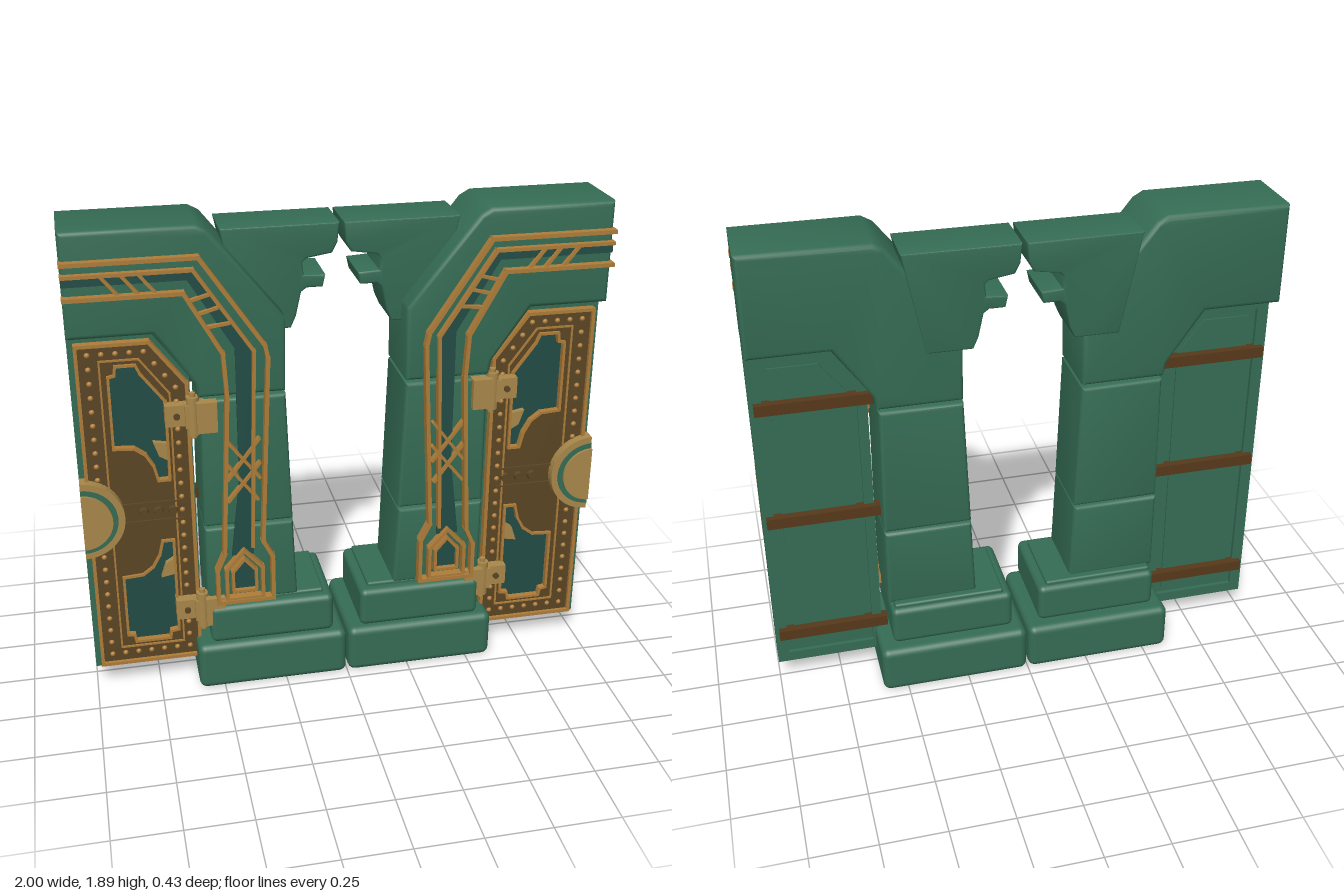
import * as THREE from 'three';
import { mergeGeometries, toCreasedNormals } from 'three/addons/utils/BufferGeometryUtils.js';
import { RoundedBoxGeometry } from 'three/addons/geometries/RoundedBoxGeometry.js';

const material = (name, color) => {
  const m = new THREE.MeshStandardMaterial({ color });
  m.name = name;
  return m;
};

const toShape = (pts) => new THREE.Shape(pts.map(([x, y]) => new THREE.Vector2(x, y)));

// Extruded outline between two depths, with its bevel kept inside the outline
function slab(pts, z0, z1, bevel = 0, holes = []) {
  const shape = toShape(pts);
  holes.forEach((h) => shape.holes.push(toShape(h)));
  const g = new THREE.ExtrudeGeometry(shape, {
    depth: z1 - z0 - 2 * bevel, bevelEnabled: bevel > 0, bevelThickness: bevel,
    bevelSize: bevel, bevelOffset: -bevel, bevelSegments: 3,
  });
  g.translate(0, 0, z0 + bevel);
  return bevel ? toCreasedNormals(g, 0.7) : g;
}

// Box given by its limits, optionally rounded
function block(x0, x1, y0, y1, z0, z1, r = 0) {
  const size = [x1 - x0, y1 - y0, z1 - z0];
  const g = r ? new RoundedBoxGeometry(...size, 3, r) : new THREE.BoxGeometry(...size);
  return g.translate((x0 + x1) / 2, (y0 + y1) / 2, (z0 + z1) / 2);
}

const merge = (list) => mergeGeometries(list.map((g) => (g.index ? g.toNonIndexed() : g)));

// Raised strip following a list of points
function strip(pts, width, z0, z1, closed = false) {
  const path = closed ? [...pts, pts[0]] : pts;
  const parts = [];
  for (let i = 0; i + 1 < path.length; i++) {
    const [ax, ay] = path[i], [bx, by] = path[i + 1];
    const g = new THREE.BoxGeometry(Math.hypot(bx - ax, by - ay) + width * 0.8, width, z1 - z0);
    g.rotateZ(Math.atan2(by - ay, bx - ax));
    parts.push(g.translate((ax + bx) / 2, (ay + by) / 2, (z0 + z1) / 2));
  }
  return merge(parts);
}

// Small round studs spaced along a closed outline
function studs(pts, spacing, radius, z) {
  const parts = [];
  pts.forEach(([ax, ay], i) => {
    const [bx, by] = pts[(i + 1) % pts.length];
    const n = Math.max(1, Math.round(Math.hypot(bx - ax, by - ay) / spacing));
    for (let k = 0; k < n; k++) {
      const g = new THREE.SphereGeometry(radius, 8, 4, 0, Math.PI * 2, 0, Math.PI / 2).rotateX(Math.PI / 2);
      parts.push(g.translate(ax + (bx - ax) * k / n, ay + (by - ay) * k / n, z));
    }
  });
  return merge(parts);
}

// Mirror a geometry in x, keeping its faces outward
function mirror(source) {
  const g = source.index ? source.toNonIndexed() : source.clone();
  g.scale(-1, 1, 1);
  for (const a of Object.values(g.attributes)) {
    const s = a.itemSize;
    for (let i = 0; i < a.count; i += 3) {
      for (let k = 0; k < s; k++) {
        const p = (i + 1) * s + k, q = (i + 2) * s + k;
        [a.array[p], a.array[q]] = [a.array[q], a.array[p]];
      }
    }
  }
  return g;
}

export function createModel() {
  const root = new THREE.Group();
  root.name = 'gateway';
  const left = new THREE.Group(), right = new THREE.Group();
  left.name = 'leftHalf';
  right.name = 'rightHalf';
  root.add(left, right);

  const green = material('green stone', 0x356c54);
  const teal = material('dark teal', 0x234c45);
  const gold = material('gold', 0xa8874a);
  const copper = material('copper trim', 0xae7c39);
  const brown = material('bronze brown', 0x5a4524);
  const wood = material('strap brown', 0x57391a);

  const add = (name, geometry, mat) => {
    const a = new THREE.Mesh(geometry, mat), b = new THREE.Mesh(mirror(geometry), mat);
    a.name = b.name = name;
    left.add(a);
    right.add(b);
  };

  // Stepped base
  add('baseBlock', block(0.004, 0.6, 0, 0.197, -0.215, 0.213, 0.03), green);
  add('baseStep', block(0.055, 0.545, 0.2, 0.362, -0.17, 0.197, 0.025), green);
  add('plinth', block(0.09, 0.53, 0.33, 0.378, -0.15, 0.16, 0.01), green);

  // Tapered column and angled arch block
  add('lowerColumn', slab([[0.195, 0.37], [0.55, 0.37], [0.55, 0.7], [0.208, 0.7]], -0.122, 0.165, 0.015), green);
  add('upperColumn', slab([[0.208, 0.708], [0.55, 0.708], [0.545, 1.232], [0.227, 1.232]], -0.122, 0.165, 0.015), green);
  add('archBlock', slab([[0.228, 1.245], [0.55, 1.245], [0.56, 1.3], [0.7, 1.5], [1, 1.5], [1, 1.888],
    [0.53, 1.888], [0.49, 1.865], [0.225, 1.53]], -0.125, 0.172, 0.018), green);

  // Stepped corbel meeting at the middle
  add('corbel', slab([[0.008, 1.842], [0.44, 1.842], [0.36, 1.455], [0.19, 1.455], [0.17, 1.5], [0.15, 1.59],
    [0.13, 1.605], [0.07, 1.605], [0.06, 1.65], [0.14, 1.655], [0.145, 1.7], [0.13, 1.715],
    [0.035, 1.73], [0.015, 1.77]], -0.132, 0.08, 0.007), green);

  // Dark inlaid band with copper lines
  add('inlayBand', slab([[1, 1.735], [0.55, 1.735], [0.347, 1.43], [0.365, 0.58], [0.45, 0.58], [0.412, 0.9],
    [0.412, 1.43], [0.57, 1.695], [1, 1.695]], 0.168, 0.176), teal);
  add('columnInlay', slab([[0.35, 1.25], [0.365, 0.58], [0.45, 0.58], [0.412, 0.9], [0.412, 1.25]], 0.162, 0.17), teal);
  add('inlayFoot', slab([[0.36, 0.425], [0.45, 0.425], [0.45, 0.51], [0.405, 0.56], [0.36, 0.51]], 0.164, 0.173), teal);
  add('outerTrim', strip([[0.996, 1.78], [0.53, 1.78], [0.305, 1.44], [0.295, 1.39], [0.33, 0.64], [0.295, 0.57],
    [0.295, 0.385], [0.51, 0.385], [0.51, 0.53], [0.48, 0.6], [0.448, 1.25], [0.457, 1.42], [0.587, 1.655],
    [0.996, 1.655]], 0.015, 0.16, 0.202), copper);
  add('innerTrim', strip([[0.996, 1.735], [0.55, 1.735], [0.345, 1.42], [0.37, 0.62]], 0.013, 0.16, 0.196), copper);
  add('footTrim', merge([
    strip([[0.405, 0.605], [0.475, 0.525], [0.475, 0.395], [0.335, 0.395], [0.335, 0.525]], 0.013, 0.16, 0.198, true),
    strip([[0.405, 0.565], [0.45, 0.512], [0.45, 0.425], [0.36, 0.425], [0.36, 0.512]], 0.011, 0.16, 0.192, true),
  ]), copper);
  const braces = [[0.335, 1.07, 0.455, 0.91], [0.335, 0.97, 0.455, 0.82], [0.335, 0.91, 0.455, 1.07],
    [0.345, 0.82, 0.455, 0.97], [0.87, 1.735, 0.81, 1.66], [0.8, 1.735, 0.74, 1.66], [0.74, 1.735, 0.68, 1.66],
    [0.5, 1.64, 0.57, 1.62], [0.47, 1.59, 0.54, 1.57], [0.43, 1.53, 0.51, 1.52]];
  add('crossBraces', merge(braces.map(([a, b, c, d]) => strip([[a, b], [c, d]], 0.011, 0.165, 0.19))), copper);

  // Door leaf with a raised rim on its back
  const leaf = [[0.572, 0.088], [1, 0.088], [1, 1.482], [0.705, 1.482], [0.572, 1.305]];
  const backPanel = [[0.61, 0.13], [0.955, 0.13], [0.955, 1.44], [0.725, 1.44], [0.61, 1.29]];
  add('doorLeaf', slab(leaf, -0.012, 0.09), green);
  add('doorBackRim', slab(leaf, -0.028, -0.012, 0, [backPanel]), green);
  add('doorBackPanel', slab([[0.64, 0.16], [0.925, 0.16], [0.925, 1.41], [0.74, 1.41], [0.64, 1.28]], -0.02, -0.012), green);
  add('backStraps', merge([0.235, 0.77, 1.26].map((y) => block(0.55, 0.985, y - 0.022, y + 0.022, -0.052, -0.01))), wood);

  // Door front: pierced bronze plate over teal panels
  const frame = [[0.585, 0.11], [0.972, 0.11], [0.972, 1.455], [0.713, 1.455], [0.585, 1.285]];
  const sideCurve = [[0.665, 0.9], [0.708, 0.9], [0.722, 0.96], [0.75, 1.01], [0.79, 1.04], [0.865, 1.045]];
  const upperHole = [...sideCurve, [0.865, 1.33], [0.842, 1.335], [0.838, 1.37], [0.765, 1.37], [0.75, 1.335], [0.665, 1.22]];
  const lowerHole = [...sideCurve.map(([x, y]) => [x, 1.54 - y]), [0.865, 0.235], [0.84, 0.23], [0.835, 0.2],
    [0.7, 0.2], [0.695, 0.23], [0.665, 0.235]];
  add('doorPanels', slab([[0.65, 0.18], [0.88, 0.18], [0.88, 1.39], [0.75, 1.39], [0.65, 1.24]], 0.085, 0.094), teal);
  add('doorPlate', slab(frame, 0.085, 0.108, 0, [upperHole, lowerHole]), brown);
  add('doorTrim', merge([strip(frame, 0.013, 0.085, 0.122, true),
    strip(upperHole, 0.01, 0.09, 0.119, true), strip(lowerHole, 0.01, 0.09, 0.119, true)]), copper);
  const studLine = [[0.625, 0.15], [0.932, 0.15], [0.932, 1.418], [0.732, 1.418], [0.625, 1.27]];
  add('doorStuds', studs(studLine, 0.055, 0.011, 0.107), copper);
  add('innerFrameTrim', strip([[0.648, 0.178], [0.893, 0.178], [0.893, 1.392], [0.752, 1.392], [0.648, 1.25]],
    0.007, 0.1, 0.114, true), copper);
  add('cornerPlates', merge([1, -1].map((s) => slab([[0.667, 0.77 + s * 0.21], [0.7, 0.77 + s * 0.23],
    [0.72, 0.77 + s * 0.29], [0.667, 0.77 + s * 0.28]], 0.094, 0.116))), gold);
  add('middleBar', merge([block(0.62, 0.86, 0.805, 0.812, 0.1, 0.116), block(0.62, 0.86, 0.728, 0.735, 0.1, 0.116)]), brown);
  add('middleStuds', merge([0.66, 0.715, 0.77].map((x) => new THREE.CylinderGeometry(0.016, 0.02, 0.016, 10)
    .rotateX(Math.PI / 2).translate(x, 0.77, 0.113))), brown);

  // Half-round lock at the free edge
  const halfDisc = (r, z0, z1) => {
    const pts = [];
    for (let i = 0; i <= 24; i++) {
      const a = Math.PI / 2 + Math.PI * i / 24;
      pts.push([1 + r * Math.cos(a), 0.77 + r * Math.sin(a)]);
    }
    return slab(pts, z0, z1);
  };
  add('lockRim', halfDisc(0.158, 0.085, 0.145), gold);
  add('lockGroove', halfDisc(0.132, 0.14, 0.149), green);
  add('lockPlate', halfDisc(0.112, 0.14, 0.16), gold);

  // Hinges
  [1.172, 0.342].forEach((y, i) => {
    const h = merge([
      block(0.485, 0.56, y - 0.06, y + 0.06, 0.14, 0.19),
      block(0.585, 0.672, y - 0.042, y + 0.042, 0.09, 0.15),
      block(0.54, 0.6, y - 0.045, y + 0.045, 0.12, 0.17),
      new THREE.CylinderGeometry(0.024, 0.024, 0.15, 14).translate(0.57, y, 0.15),
      new THREE.CylinderGeometry(0.012, 0.012, 0.18, 10).translate(0.57, y, 0.15),
    ]);
    add(i ? 'lowerHinge' : 'upperHinge', h, gold);
    add('hingeBolt', new THREE.CylinderGeometry(0.012, 0.012, 0.012, 10).rotateX(Math.PI / 2).translate(0.63, y, 0.155), brown);
  });

  return root;
}
